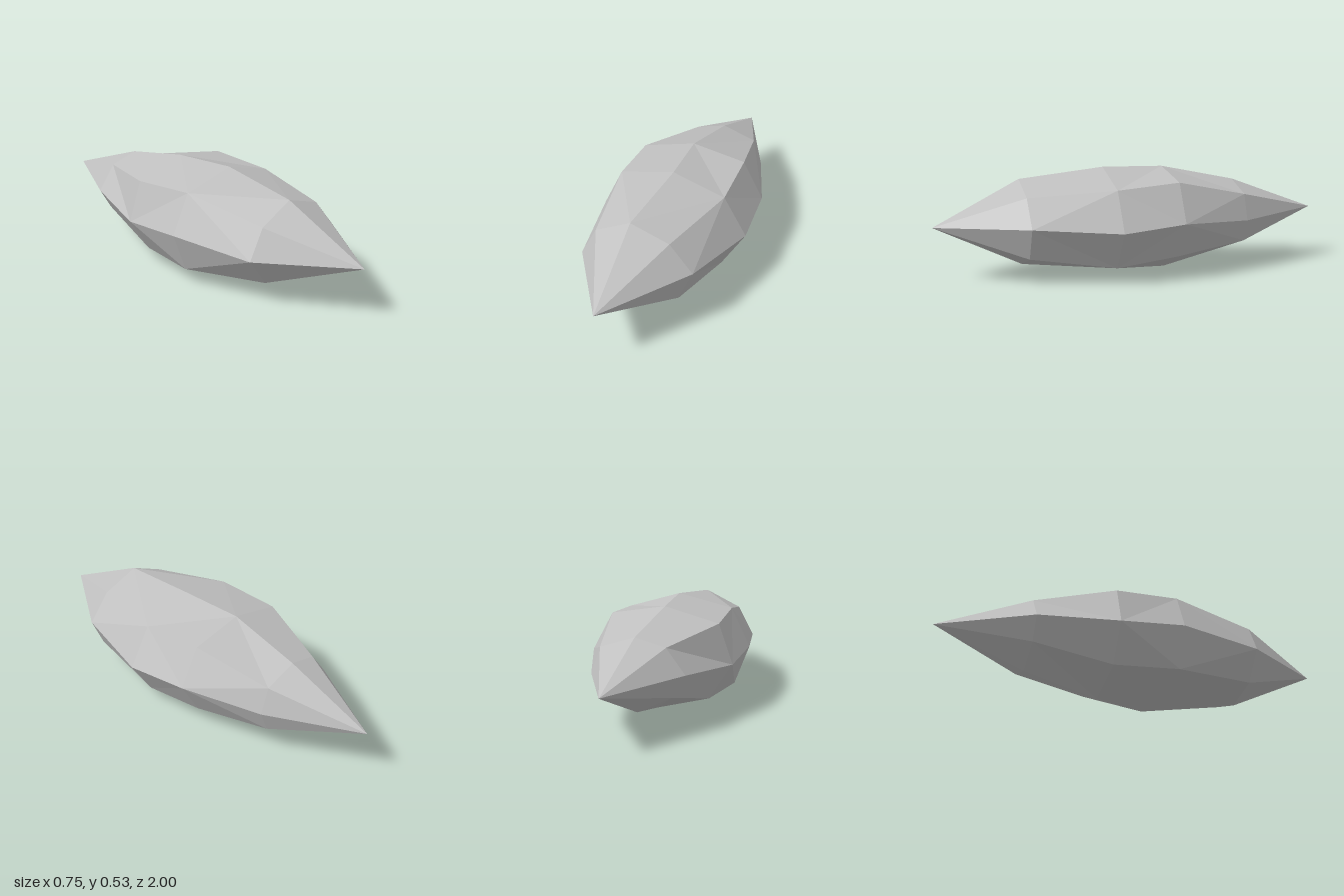
import * as THREE from 'three';

// Cross-sections from front to back; points run clockwise from the top as [x, y]
const SECTIONS = [
  { z: 0.57, pts: [[-0.035, 0.48], [0.16, 0.415], [0.275, 0.282], [0.205, 0.127], [0.01, 0.062], [-0.19, 0.108], [-0.295, 0.248], [-0.215, 0.395]] },
  { z: 0.15, pts: [[-0.003, 0.527], [0.262, 0.447], [0.376, 0.257], [0.255, 0.066], [-0.02, 0.011], [-0.302, 0.074], [-0.378, 0.272], [-0.283, 0.465]] },
  { z: -0.17, pts: [[-0.03, 0.515], [0.243, 0.468], [0.345, 0.28], [0.24, 0.1], [0.01, 0], [-0.257, 0.07], [-0.373, 0.248], [-0.303, 0.445]] },
  { z: -0.55, pts: [[-0.01, 0.435], [0.16, 0.38], [0.205, 0.252], [0.16, 0.14], [-0.02, 0.083], [-0.185, 0.165], [-0.253, 0.275], [-0.16, 0.397]] },
];
const FRONT_TIP = [-0.012, 0.265, 1];
const BACK_TIP = [-0.012, 0.265, -1];

function spindleGeometry() {
  const rings = SECTIONS.map(({ z, pts }) => pts.map(([x, y]) => [x, y, z]));
  const positions = [];
  const tri = (...corners) => corners.forEach((c) => positions.push(...c));
  const n = rings[0].length;
  const last = rings.length - 1;

  for (let j = 0; j < n; j++) {
    const k = (j + 1) % n;
    // Pointed ends
    tri(FRONT_TIP, rings[0][k], rings[0][j]);
    tri(BACK_TIP, rings[last][j], rings[last][k]);
    // Facets between sections, with diagonals alternating like a diamond cut
    for (let i = 0; i < last; i++) {
      const a = rings[i][j], b = rings[i][k];
      const c = rings[i + 1][j], d = rings[i + 1][k];
      if ((i + j) % 2 === 0) {
        tri(a, b, d);
        tri(a, d, c);
      } else {
        tri(a, b, c);
        tri(b, d, c);
      }
    }
  }

  const geometry = new THREE.BufferGeometry();
  geometry.setAttribute('position', new THREE.Float32BufferAttribute(positions, 3));
  // Corners are unshared, so these normals keep every facet flat
  geometry.computeVertexNormals();
  return geometry;
}

export function createModel() {
  const stone = new THREE.MeshStandardMaterial({ color: 0xc0c0c0 });
  stone.name = 'light stone grey';

  const rock = new THREE.Mesh(spindleGeometry(), stone);
  rock.name = 'rock';

  const model = new THREE.Group();
  model.name = 'pointedRock';
  model.add(rock);
  return model;
}
